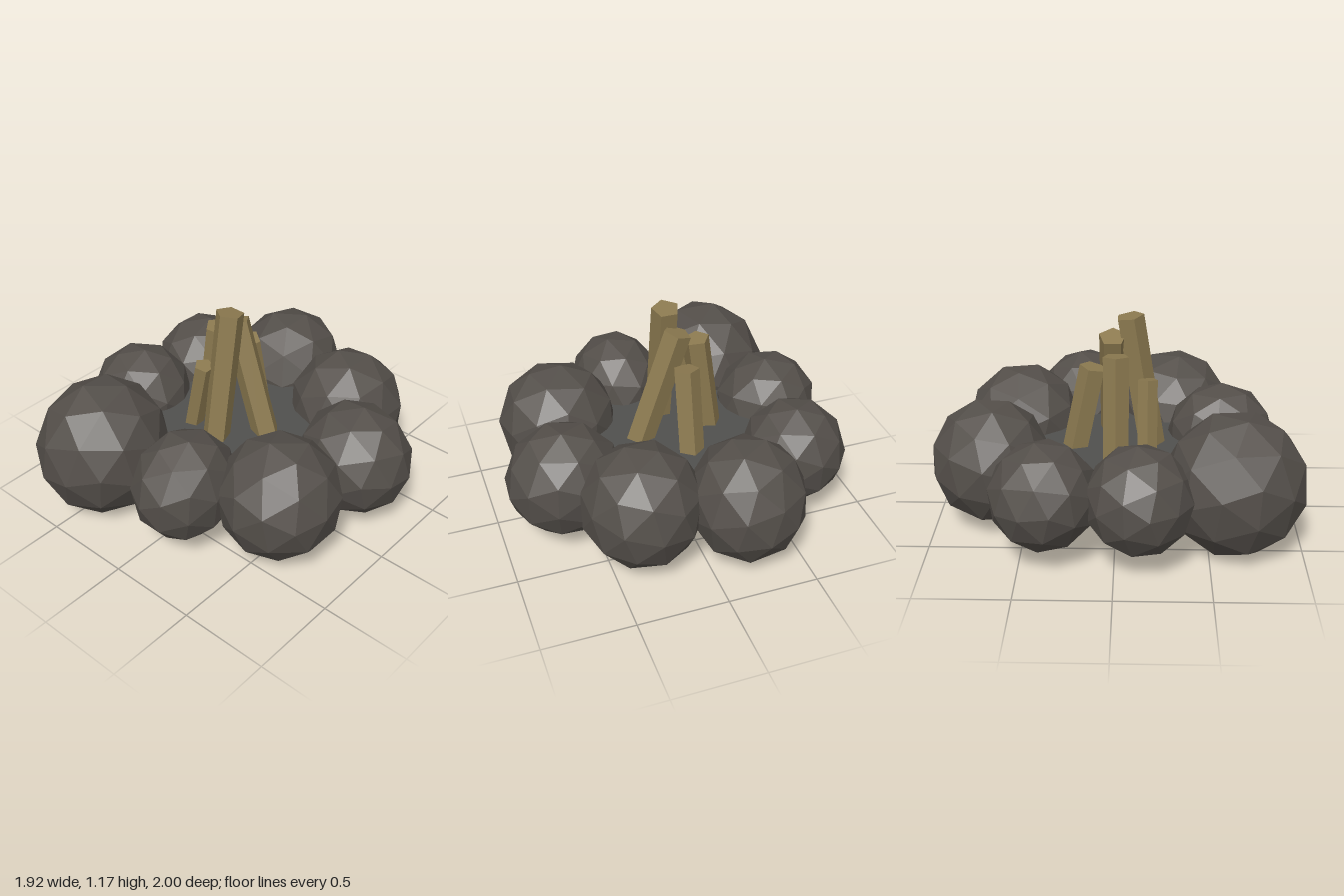
import * as THREE from 'three';

const stone = new THREE.MeshStandardMaterial({ name: 'darkStone', color: 0x544f4a, flatShading: true });
const wood = new THREE.MeshStandardMaterial({ name: 'dryWood', color: 0x8c7a50, flatShading: true });
const ash = new THREE.MeshStandardMaterial({ name: 'ash', color: 0x50504e, side: THREE.DoubleSide });

// Faceted boulder fitted to a centre and full size
function makeRock(center, size, turn) {
  const geo = new THREE.IcosahedronGeometry(1, 1);
  geo.applyMatrix4(new THREE.Matrix4().makeRotationFromEuler(new THREE.Euler(turn * 1.3, turn * 2.1, turn * 0.7)));
  geo.center();
  geo.computeBoundingBox();
  const box = geo.boundingBox.getSize(new THREE.Vector3());
  geo.scale(size[0] / box.x, size[1] / box.y, size[2] / box.z);
  geo.computeVertexNormals();
  const rock = new THREE.Mesh(geo, stone);
  rock.position.set(...center);
  return rock;
}

// Five-sided log running from its foot to its tip
function makeLog(foot, tip, radius, spin) {
  const a = new THREE.Vector3(...foot);
  const b = new THREE.Vector3(...tip);
  const dir = b.clone().sub(a);
  const geo = new THREE.CylinderGeometry(radius, radius, dir.length(), 5);
  geo.rotateY(spin);
  const log = new THREE.Mesh(geo, wood);
  log.quaternion.setFromUnitVectors(new THREE.Vector3(0, 1, 0), dir.normalize());
  log.position.copy(a).add(b).multiplyScalar(0.5);
  return log;
}

export function createModel() {
  const fire = new THREE.Group();
  fire.name = 'campfire';

  // Ring of boulders: centre, full size
  const ring = new THREE.Group();
  ring.name = 'rockRing';
  [
    [[-0.215, 0.385, -0.68], [0.63, 0.66, 0.64]],
    [[0.32, 0.385, -0.55], [0.65, 0.67, 0.66]],
    [[0.645, 0.385, -0.2], [0.63, 0.63, 0.57]],
    [[0.545, 0.39, 0.33], [0.67, 0.68, 0.67]],
    [[0.115, 0.395, 0.59], [0.53, 0.61, 0.61]],
    [[-0.47, 0.385, 0.63], [0.69, 0.77, 0.74]],
    [[-0.67, 0.39, 0.13], [0.58, 0.58, 0.55]],
    [[-0.62, 0.385, -0.365], [0.58, 0.58, 0.56]],
  ].forEach(([center, size], i) => {
    const rock = makeRock(center, size, i + 0.4);
    rock.name = `rock${i + 1}`;
    ring.add(rock);
  });
  fire.add(ring);

  // Ash bed between the boulders
  const bed = new THREE.Mesh(new THREE.CircleGeometry(0.5, 24), ash);
  bed.name = 'ashBed';
  bed.rotation.x = -Math.PI / 2;
  bed.position.y = 0.42;
  fire.add(bed);

  // Leaning logs: foot, tip, radius, spin
  const logs = new THREE.Group();
  logs.name = 'logs';
  [
    [[-0.025, 0.36, 0.2], [-0.025, 1.155, 0.07], 0.078, 0],
    [[0.17, 0.37, -0.02], [-0.06, 1.05, -0.02], 0.078, Math.PI / 2],
    [[-0.26, 0.37, 0], [-0.175, 0.98, 0], 0.073, -Math.PI / 2],
    [[-0.07, 0.37, -0.23], [-0.07, 0.88, -0.125], 0.075, Math.PI],
    [[-0.225, 0.37, 0.17], [-0.125, 0.83, 0.17], 0.056, -Math.PI / 2],
  ].forEach((args, i) => {
    const log = makeLog(...args);
    log.name = `log${i + 1}`;
    logs.add(log);
  });
  fire.add(logs);

  return fire;
}
